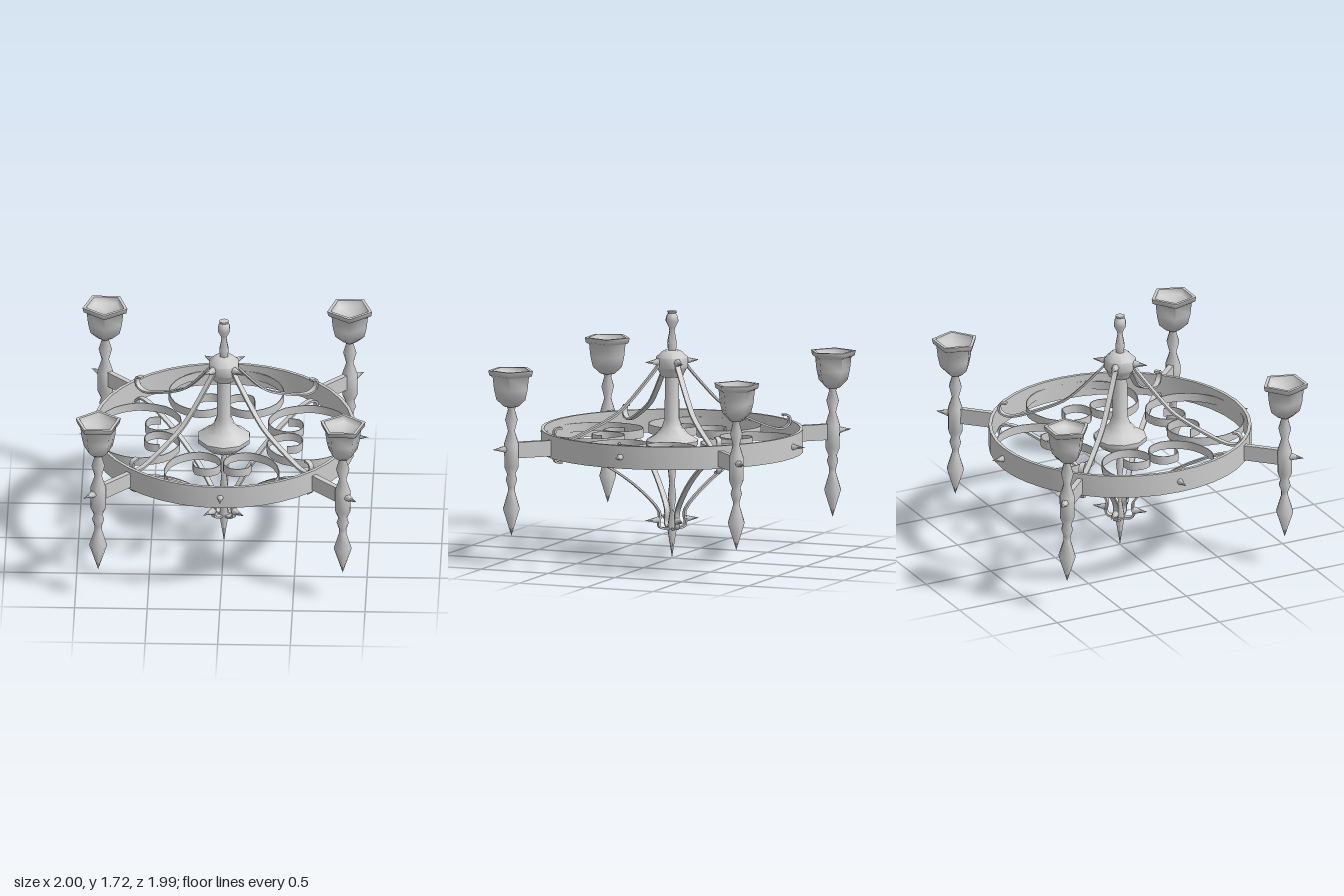
import * as THREE from 'three';
import { toCreasedNormals } from 'three/addons/utils/BufferGeometryUtils.js';

const material = new THREE.MeshStandardMaterial({ color: 0xcccccc, side: THREE.DoubleSide });
const vecs = (pts) => pts.map(([x, y]) => new THREE.Vector2(x, y));

function add(parent, name, geometry) {
  const mesh = new THREE.Mesh(geometry, material);
  mesh.name = name;
  parent.add(mesh);
  return mesh;
}

// Turned part: profile of [radius, y] from bottom to top
function turned(profile, sides, phi = 0, crease = 1.31) {
  return toCreasedNormals(new THREE.LatheGeometry(vecs(profile), sides, phi), crease);
}

// Flat iron strip following a planar curve, centred on z = 0
function strip(pts, samples, thickness, width) {
  const curve = new THREE.SplineCurve(vecs(pts));
  const sideA = [], sideB = [];
  for (let i = 0; i <= samples; i++) {
    const p = curve.getPoint(i / samples), t = curve.getTangent(i / samples);
    const n = new THREE.Vector2(-t.y, t.x).multiplyScalar(thickness / 2);
    sideA.push(p.clone().add(n));
    sideB.unshift(p.clone().sub(n));
  }
  const g = new THREE.ExtrudeGeometry(new THREE.Shape([...sideA, ...sideB]), { depth: width, bevelEnabled: false });
  g.translate(0, 0, -width / 2);
  return toCreasedNormals(g, 0.8);
}

// Small pointed stud aimed along +x
function spike(parent, name, x, y, length, radius) {
  const g = new THREE.ConeGeometry(radius, length, 6);
  g.rotateZ(-Math.PI / 2);
  add(parent, name, g).position.set(x + length / 2, y, 0);
}

export function createModel() {
  const model = new THREE.Group();
  model.name = 'chandelier';

  // Central stem, from the bottom point to the finial
  add(model, 'lowerStem', turned([[0, 0], [0.036, 0.21], [0.015, 0.33], [0.032, 0.42], [0.02, 0.52],
    [0.03, 0.61], [0.014, 0.69], [0.014, 0.76]], 6));
  add(model, 'columnBase', turned([[0, 0.735], [0.125, 0.735], [0.185, 0.79], [0.185, 0.82], [0.12, 0.86],
    [0.075, 0.91], [0.052, 0.97], [0.05, 1.3]], 10, 0, 0.9));
  add(model, 'hub', turned([[0, 1.265], [0.075, 1.265], [0.095, 1.31], [0.11, 1.33], [0.11, 1.4],
    [0.06, 1.445], [0, 1.45]], 8, Math.PI / 8, 0.8));
  add(model, 'finial', turned([[0.03, 1.44], [0.036, 1.5], [0.02, 1.58], [0.024, 1.605], [0.048, 1.65],
    [0.045, 1.68], [0.028, 1.705], [0.036, 1.71], [0.034, 1.72], [0, 1.72]], 6));

  // Flat band ring
  add(model, 'ring', turned([[0.882, 0.745], [0.905, 0.745], [0.905, 0.905], [0.882, 0.905], [0.882, 0.745]], 40, 0, 0.6));

  // Half of the scroll: [sideways, distance from the centre]
  const half = [[0.1, 0.878], [0.21, 0.85], [0.32, 0.77], [0.38, 0.665], [0.395, 0.555], [0.35, 0.41],
    [0.26, 0.33], [0.155, 0.3], [0.05, 0.345], [0.008, 0.44], [0.035, 0.515], [0.105, 0.545], [0.185, 0.515], [0.2, 0.44]];
  const mirrored = half.map(([x, y]) => [-x, y]).reverse();
  const scroll = strip([...mirrored, [0, 0.884], ...half], 56, 0.006, 0.06);
  scroll.rotateX(Math.PI / 2);

  const upperStay = strip([[0.1, 1.36], [0.13, 1.31], [0.32, 1.1], [0.44, 1.005], [0.65, 0.905], [0.78, 0.86],
    [0.85, 0.87], [0.873, 0.91], [0.86, 0.945], [0.82, 0.95]], 30, 0.014, 0.036);
  const lowerStay = strip([[0, 0.207], [0.07, 0.21], [0.1, 0.24], [0.1, 0.34], [0.25, 0.5], [0.44, 0.64],
    [0.645, 0.745], [0.78, 0.79], [0.85, 0.78], [0.873, 0.745], [0.86, 0.715], [0.82, 0.71]], 34, 0.014, 0.036);

  for (let i = 0; i < 4; i++) {
    // Scroll and stud on each axis
    const side = new THREE.Group();
    side.name = 'scrollSide';
    side.rotation.y = (i * Math.PI) / 2;
    add(side, 'scroll', scroll).position.y = 0.825;
    const stud = new THREE.Group();
    stud.rotation.y = -Math.PI / 2;
    spike(stud, 'ringSpike', 0.9, 0.825, 0.095, 0.024);
    side.add(stud);
    model.add(side);

    // Bar, stays and studs on each diagonal
    const arm = new THREE.Group();
    arm.name = 'arm';
    arm.rotation.y = Math.PI / 4 + (i * Math.PI) / 2;
    add(arm, 'armBar', new THREE.BoxGeometry(0.29, 0.11, 0.038)).position.set(1.03, 0.815, 0);
    add(arm, 'upperStay', upperStay);
    add(arm, 'lowerStay', lowerStay);
    spike(arm, 'hubSpike', 0.09, 1.37, 0.11, 0.03);
    spike(arm, 'lowerSpike', 0.1, 0.27, 0.1, 0.026);
    spike(arm, 'armSpike', 1.23, 0.825, 0.1, 0.028);
    model.add(arm);
  }

  // Candle holders at the four corners, mirrored about both axes
  const post = turned([[0, 0.22], [0.062, 0.41], [0.025, 0.53], [0.025, 0.56], [0.042, 0.61], [0.03, 0.65],
    [0.052, 0.7], [0.054, 0.86], [0.025, 0.95], [0.046, 1.03], [0.025, 1.1], [0.045, 1.14]], 8);
  const cup = turned([[0, 1.115], [0.05, 1.12], [0.105, 1.17], [0.122, 1.24], [0.132, 1.33], [0.155, 1.34],
    [0.163, 1.375], [0.138, 1.375], [0.125, 1.335], [0, 1.33]], 5, THREE.MathUtils.degToRad(35));
  for (const sx of [1, -1]) {
    for (const sz of [1, -1]) {
      const holder = new THREE.Group();
      holder.name = 'candleHolder';
      holder.position.set(sx * 0.842, 0, sz * 0.842);
      holder.scale.set(sx, 1, sz);
      add(holder, 'post', post);
      add(holder, 'cup', cup);
      model.add(holder);
    }
  }
  return model;
}
